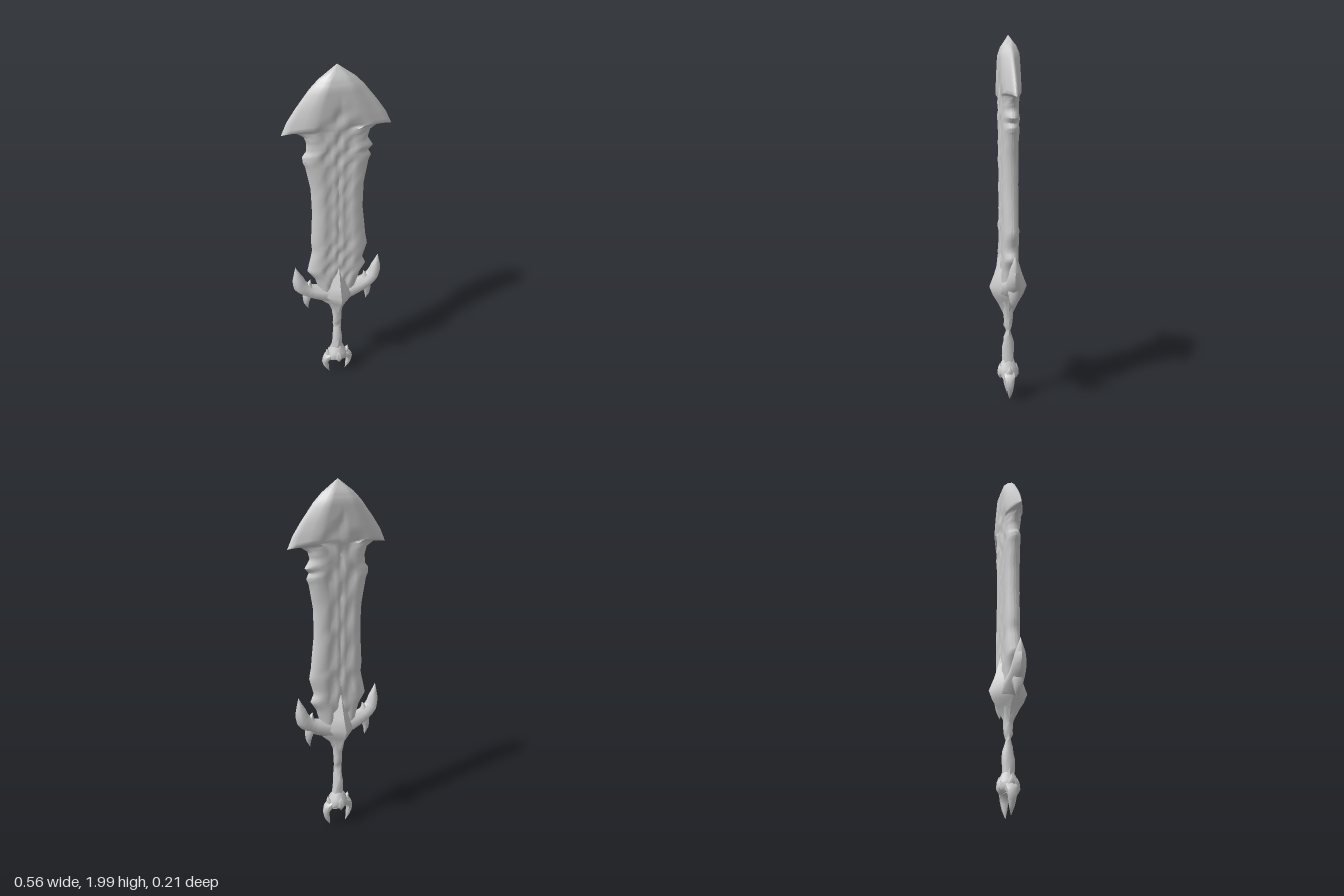
import * as THREE from 'three';
import { toCreasedNormals } from 'three/addons/utils/BufferGeometryUtils.js';

const metal = new THREE.MeshStandardMaterial({ color: 0xcccccc });
metal.name = 'pale grey metal';

// Skin a stack of closed rings and cap both ends
function loft(name, rings, crease) {
  const n = rings[0].length, pos = rings.flat(2), index = [];
  rings.slice(1).forEach((_, i) => {
    for (let j = 0; j < n; j++) {
      const a = i * n + j, b = i * n + (j + 1) % n;
      index.push(a, b, b + n, a, b + n, a + n);
    }
  });
  [0, rings.length - 1].forEach((r) => {
    const c = pos.length / 3;
    for (let k = 0; k < 3; k++) pos.push(rings[r].reduce((s, p) => s + p[k], 0) / n);
    for (let j = 0; j < n; j++) {
      const a = r * n + j, b = r * n + (j + 1) % n;
      index.push(...(r ? [c, a, b] : [c, b, a]));
    }
  });
  const g = new THREE.BufferGeometry();
  g.setAttribute('position', new THREE.Float32BufferAttribute(pos, 3));
  g.setIndex(index);
  const mesh = new THREE.Mesh(toCreasedNormals(g, crease), metal);
  mesh.name = name;
  return mesh;
}

// Tapered limb in the xy plane; points are [x, y, half width, half depth, z]
function limb(name, points, { mirror = 1, sides = 8, steps = 2, rough = 0 } = {}) {
  const at = (f) => {
    const i = Math.min(Math.floor(f), points.length - 2), t = f - i;
    return points[i].map((v, k) => THREE.MathUtils.lerp(v, points[i + 1][k], t));
  };
  const path = new THREE.CatmullRomCurve3(
    points.map(([x, y, , , z = 0]) => new THREE.Vector3(x * mirror, y, z)));
  const rings = [], count = (points.length - 1) * steps;
  for (let i = 0; i <= count; i++) {
    const u = i / count, p = path.getPoint(u), t = path.getTangent(u);
    const [, , w, d] = at(i / steps);
    const len = Math.hypot(t.x, t.y) || 1, ring = [];
    for (let j = 0; j < sides; j++) {
      const a = j / sides * Math.PI * 2;
      const k = 1 + rough * Math.sin(i * 1.9 + j * 2.4);
      const c = Math.cos(a) * w * k, s = Math.sin(a) * d * k;
      ring.push([p.x + t.y / len * c, p.y - t.x / len * c, p.z - s]);
    }
    rings.push(ring);
  }
  return loft(name, rings, 1.1);
}

// Blade rows: [centre y, left x, right x, half thickness, edge y]
const bladeRows = [
  [0.62, -0.10, 0.10, 0.040, 0.62],
  [0.70, -0.11, 0.11, 0.044, 0.70],
  [0.77, -0.13, 0.13, 0.045, 0.77],
  [0.82, -0.17, 0.165, 0.045, 0.825],
  [0.87, -0.16, 0.145, 0.045, 0.87],
  [0.95, -0.14, 0.17, 0.045, 0.96],
  [1.02, -0.145, 0.16, 0.045, 1.02],
  [1.20, -0.135, 0.14, 0.045, 1.20],
  [1.35, -0.14, 0.142, 0.045, 1.35],
  [1.48, -0.165, 0.165, 0.045, 1.48],
  [1.52, -0.178, 0.178, 0.045, 1.51],
  [1.55, -0.178, 0.162, 0.045, 1.54],
  [1.58, -0.158, 0.186, 0.045, 1.565],
  [1.61, -0.155, 0.158, 0.045, 1.61],
  [1.65, -0.17, 0.17, 0.046, 1.65],
  [1.68, -0.21, 0.21, 0.047, 1.675],
  [1.70, -0.28, 0.28, 0.049, 1.67],
  [1.75, -0.25, 0.25, 0.050, 1.735],
  [1.82, -0.205, 0.205, 0.050, 1.80],
  [1.90, -0.135, 0.135, 0.050, 1.89],
  [1.94, -0.09, 0.09, 0.038, 1.935],
  [2.00, 0, 0, 0, 2.00],
];
// Half cross-section: [share of half width, share of thickness]
const profile = [[1, 0.15], [0.86, 0.68], [0.66, 0.92], [0.48, 1.02],
  [0.36, 0.84], [0.2, 0.98], [0.08, 1.02]];
const section = [...profile, [0, 0.86], ...profile.map(([u, f]) => [-u, f]).reverse()];

function makeBlade() {
  const rings = [], steps = 3;
  for (let i = 0; i <= (bladeRows.length - 1) * steps; i++) {
    const r = Math.min(Math.floor(i / steps), bladeRows.length - 2);
    const [y, xl, xr, t, ye] = bladeRows[r].map(
      (v, k) => THREE.MathUtils.lerp(v, bladeRows[r + 1][k], i / steps - r));
    const point = (u, f, side) => {
      const x = u < 0 ? -u * xl : u * xr;
      // Carved panel ends in a chevron; above it the head is a plain bevelled ridge
      const carved = THREE.MathUtils.clamp((1.85 - Math.abs(x) * 1.1 - y) / 0.06, 0, 1);
      const worn = Math.abs(u) < 0.6 ? 0.11 : 0.03;
      const bump = worn * (Math.sin(y * 31 + u * 9 + side) + Math.sin(y * 53 - u * 12) - 1) / 1.5;
      const plain = Math.min(1, 0.04 + (1 - Math.abs(u)) * 1.9);
      return [x, y + (ye - y) * Math.abs(u) ** 3,
        side * t * THREE.MathUtils.lerp(plain, f + bump, carved)];
    };
    rings.push([
      ...section.map(([u, f]) => point(u, f, -1)),
      ...section.map(([u, f]) => point(-u, f, 1)),
    ]);
  }
  return loft('blade', rings, 1.2);
}

export function createModel() {
  const sword = new THREE.Group();
  sword.name = 'sword';
  sword.add(makeBlade());

  // Pointed collar where blade and grip meet
  sword.add(limb('collar', [
    [0, 0.50, 0.028, 0.03], [0, 0.56, 0.05, 0.06], [0, 0.60, 0.095, 0.085],
    [0, 0.65, 0.125, 0.105], [0, 0.72, 0.09, 0.078], [0, 0.78, 0.06, 0.06],
    [0, 0.86, 0.02, 0.04],
  ], { sides: 4, steps: 1 }));

  // Grip with a pinched middle
  sword.add(limb('grip', [
    [0, 0.12, 0.045, 0.03], [0, 0.20, 0.036, 0.032], [0, 0.30, 0.028, 0.035],
    [0, 0.36, 0.024, 0.024], [0, 0.395, 0.025, 0.012], [0, 0.425, 0.026, 0.024],
    [0, 0.48, 0.027, 0.026], [0, 0.54, 0.036, 0.034], [0, 0.60, 0.065, 0.05],
  ], { rough: 0.08 }));

  // Knot of the pommel
  sword.add(limb('pommel', [
    [0, 0.115, 0.03, 0.02], [0, 0.135, 0.065, 0.05], [0, 0.17, 0.062, 0.055],
    [0, 0.20, 0.045, 0.045], [0, 0.23, 0.03, 0.03],
  ], { rough: 0.06 }));

  for (const mirror of [1, -1]) {
    // Guard horn sweeping out and up
    sword.add(limb('guardHorn', [
      [0.04, 0.645, 0.058, 0.055], [0.11, 0.665, 0.05, 0.048], [0.17, 0.69, 0.042, 0.042],
      [0.212, 0.73, 0.042, 0.038], [0.227, 0.785, 0.031, 0.028], [0.239, 0.865, 0, 0],
    ], { mirror, sides: 6 }));
    // Hooked claw under the horn
    sword.add(limb('guardClaw', [
      [0.16, 0.70, 0.03, 0.03], [0.176, 0.65, 0.028, 0.03],
      [0.182, 0.605, 0.017, 0.02], [0.172, 0.555, 0, 0],
    ], { mirror, sides: 6 }));
    // Small spur on top of the horn
    sword.add(limb('guardSpur', [
      [0.16, 0.69, 0.028, 0.028], [0.165, 0.73, 0.017, 0.018], [0.155, 0.765, 0, 0],
    ], { mirror, sides: 6 }));
    // Pommel claw bent downwards
    sword.add(limb('pommelClaw', [
      [0.03, 0.155, 0.03, 0.035], [0.062, 0.138, 0.026, 0.032],
      [0.076, 0.105, 0.021, 0.024], [0.066, 0.055, 0.014, 0.015], [0.05, 0.01, 0, 0],
    ], { mirror, sides: 6 }));
    // Pommel barb pointing up
    sword.add(limb('pommelBarb', [
      [0.045, 0.15, 0.022, 0.024], [0.06, 0.175, 0.015, 0.017], [0.066, 0.203, 0, 0],
    ], { mirror, sides: 6 }));
    // Knob on the pommel face
    sword.add(limb('pommelKnob', [
      [0, 0.115, 0, 0, 0.045 * mirror], [0, 0.145, 0.022, 0.017, 0.045 * mirror],
      [0, 0.18, 0.018, 0.012, 0.046 * mirror], [0, 0.205, 0, 0, 0.046 * mirror],
    ], { sides: 6 }));
  }
  return sword;
}
